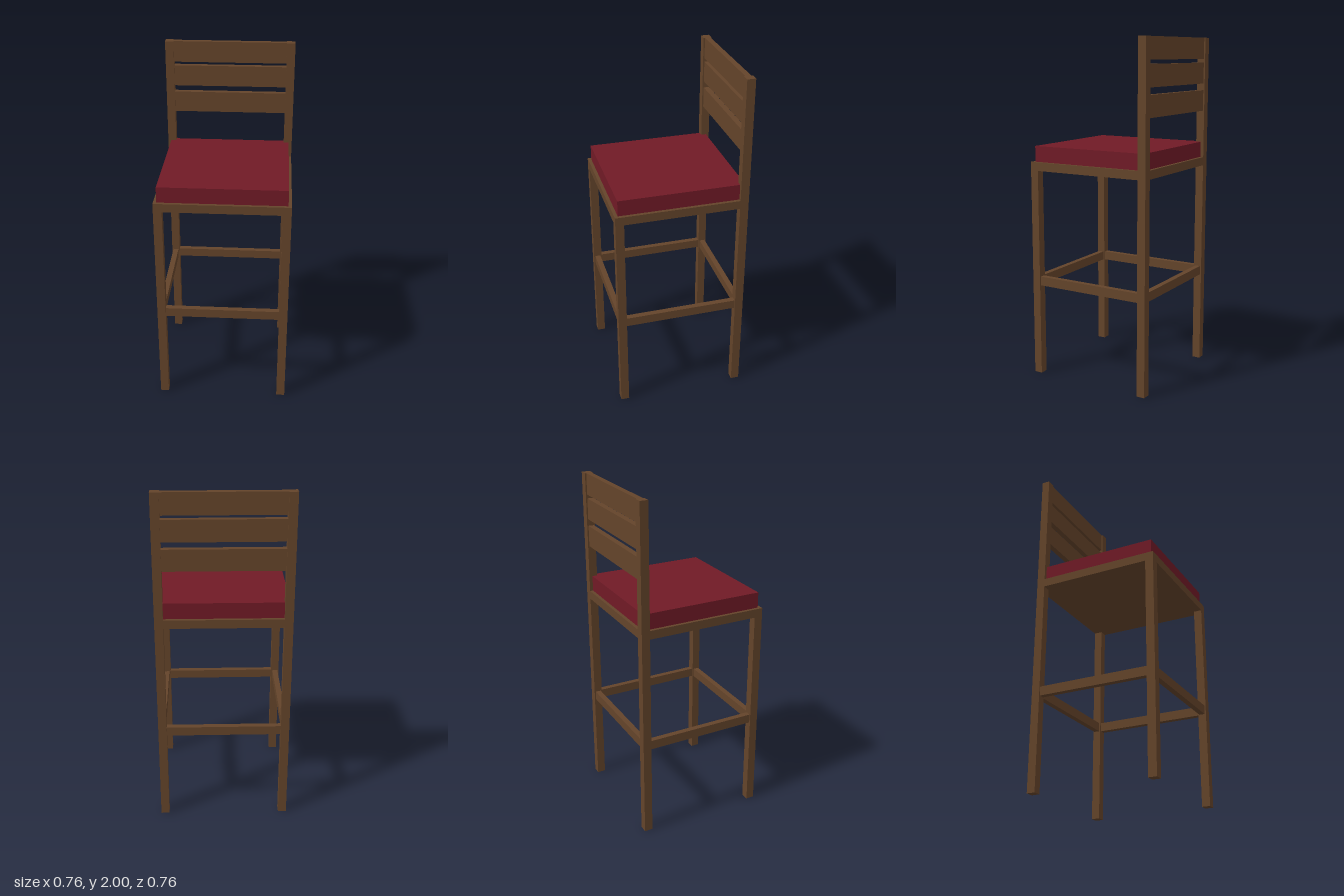
import * as THREE from 'three';

export function createModel() {
  const model = new THREE.Group();
  model.name = 'barStool';
  const wood = new THREE.MeshStandardMaterial({ color: 0x64442a });
  const fabric = new THREE.MeshStandardMaterial({ color: 0x701a26 });

  const HALF = 0.382;            // half the footprint
  const LEG = 0.049;             // leg thickness
  const AXIS = HALF - LEG / 2;   // leg centre line
  const SPAN = 2 * (HALF - LEG); // clear distance between legs
  const RAIL = 0.033;            // rail and slat thickness
  const SEAT_TOP = 1.29;

  // Box given by its size, bottom height and centre in plan
  function box(name, w, h, d, x, bottom, z, material = wood) {
    const mesh = new THREE.Mesh(new THREE.BoxGeometry(w, h, d), material);
    mesh.name = name;
    mesh.position.set(x, bottom + h / 2, z);
    model.add(mesh);
  }

  // Legs (the back pair rises as backrest posts) and side footrails
  for (const [side, s] of [['left', 1], ['right', -1]]) {
    box(`${side}FrontLeg`, LEG, SEAT_TOP, LEG, s * AXIS, 0, AXIS);
    box(`${side}BackPost`, LEG, 2, LEG, s * AXIS, 0, -AXIS);
    box(`${side}Footrail`, RAIL, 0.054, SPAN, s * AXIS, 0.55, 0);
  }

  // Front and back footrails
  box('frontFootrail', SPAN, 0.054, RAIL, 0, 0.55, AXIS);
  box('backFootrail', SPAN, 0.054, RAIL, 0, 0.55, -AXIS);

  // Seat board and cushion
  box('seatBoard', 2 * HALF, 0.05, 2 * HALF, 0, SEAT_TOP - 0.05, 0);
  box('cushion', 0.726, 0.092, 0.726, 0, SEAT_TOP, 0, fabric);

  // Backrest slats
  [1.57, 1.732, 1.877].forEach((y, i) =>
    box(`backSlat${i + 1}`, SPAN, 0.123, RAIL, 0, y, -AXIS));

  return model;
}
